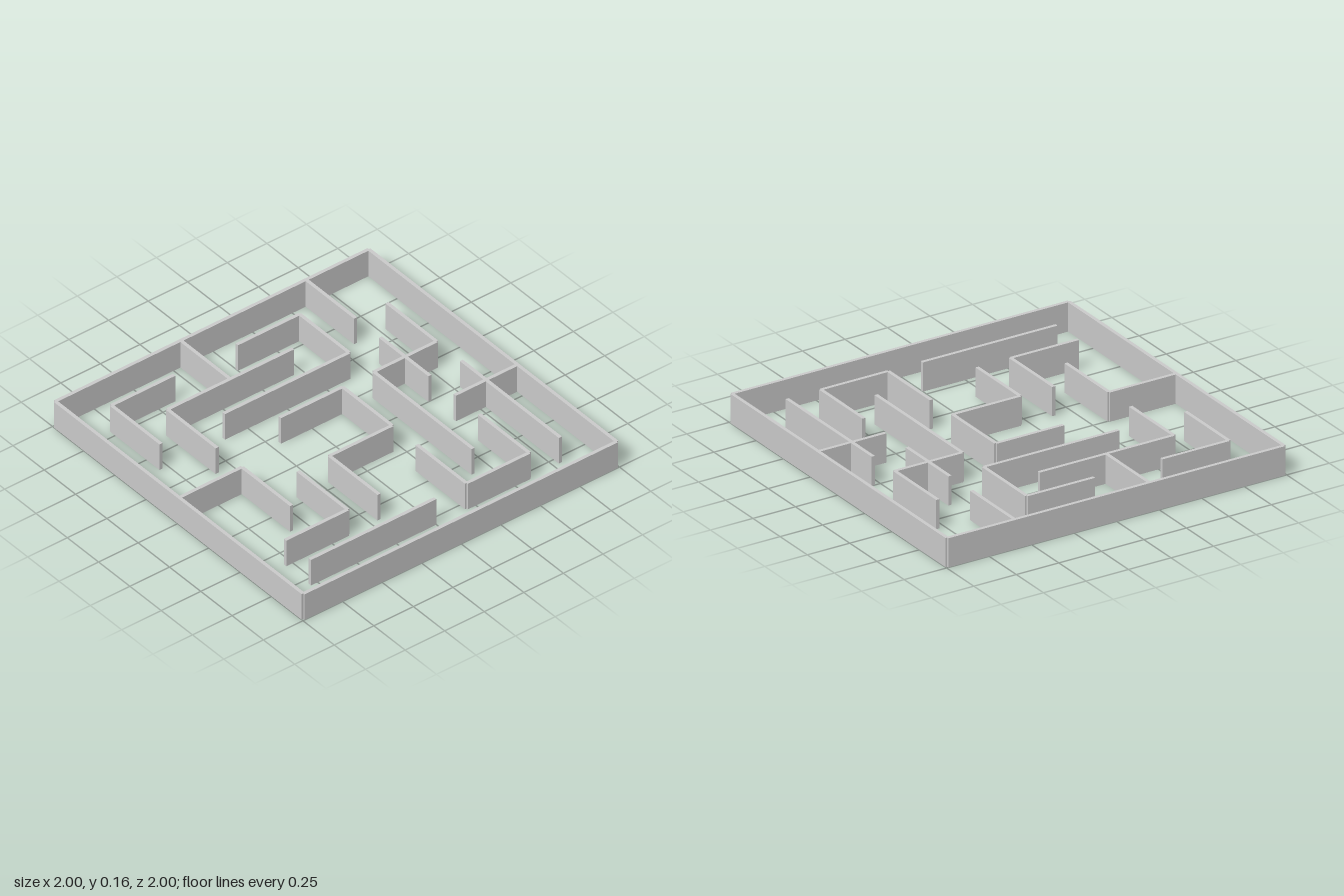
import * as THREE from 'three';

const PITCH = 0.198;      // cell size of the 10 x 10 maze
const THICK = 0.02;
const HEIGHT = 0.16;

// Each run: [grid line, start node, end node], nodes 0..10
const ALONG_X = [
  [1, 2, 4], [1, 5, 9],
  [2, 0, 2], [2, 3, 5], [2, 7, 9],
  [3, 1, 3], [3, 4, 8],
  [4, 4, 6], [4, 7, 9],
  [6, 0, 2], [6, 6, 8],
  [7, 6, 8],
  [8, 2, 4], [8, 5, 7],
  [9, 1, 3],
];
const ALONG_Z = [
  [1, 3, 5], [1, 7, 9],
  [2, 4, 8],
  [3, 3, 7],
  [4, 1, 3], [4, 4, 6],
  [5, 8, 10],
  [6, 0, 2], [6, 4, 6],
  [8, 7, 9],
  [9, 2, 4], [9, 5, 9],
];

const node = (i) => (i - 5) * PITCH;

export function createModel() {
  const maze = new THREE.Group();
  maze.name = 'maze';
  const material = new THREE.MeshStandardMaterial({ color: 0xcccccc, flatShading: true });

  function addWall(name, alongX, [line, start, end]) {
    const length = (end - start) * PITCH;
    const geometry = new THREE.BoxGeometry(alongX ? length : THICK, HEIGHT, alongX ? THICK : length);
    const wall = new THREE.Mesh(geometry, material);
    const middle = node((start + end) / 2);
    wall.name = name;
    wall.position.set(alongX ? middle : node(line), HEIGHT / 2, alongX ? node(line) : middle);
    maze.add(wall);
  }

  // Outer walls
  addWall('backOuterWall', true, [0, 0, 10]);
  addWall('frontOuterWall', true, [10, 0, 10]);
  addWall('rightOuterWall', false, [0, 0, 10]);
  addWall('leftOuterWall', false, [10, 0, 10]);

  // Inner partitions
  ALONG_X.forEach((run, i) => addWall(`crossWall${i + 1}`, true, run));
  ALONG_Z.forEach((run, i) => addWall(`lengthWall${i + 1}`, false, run));

  return maze;
}
